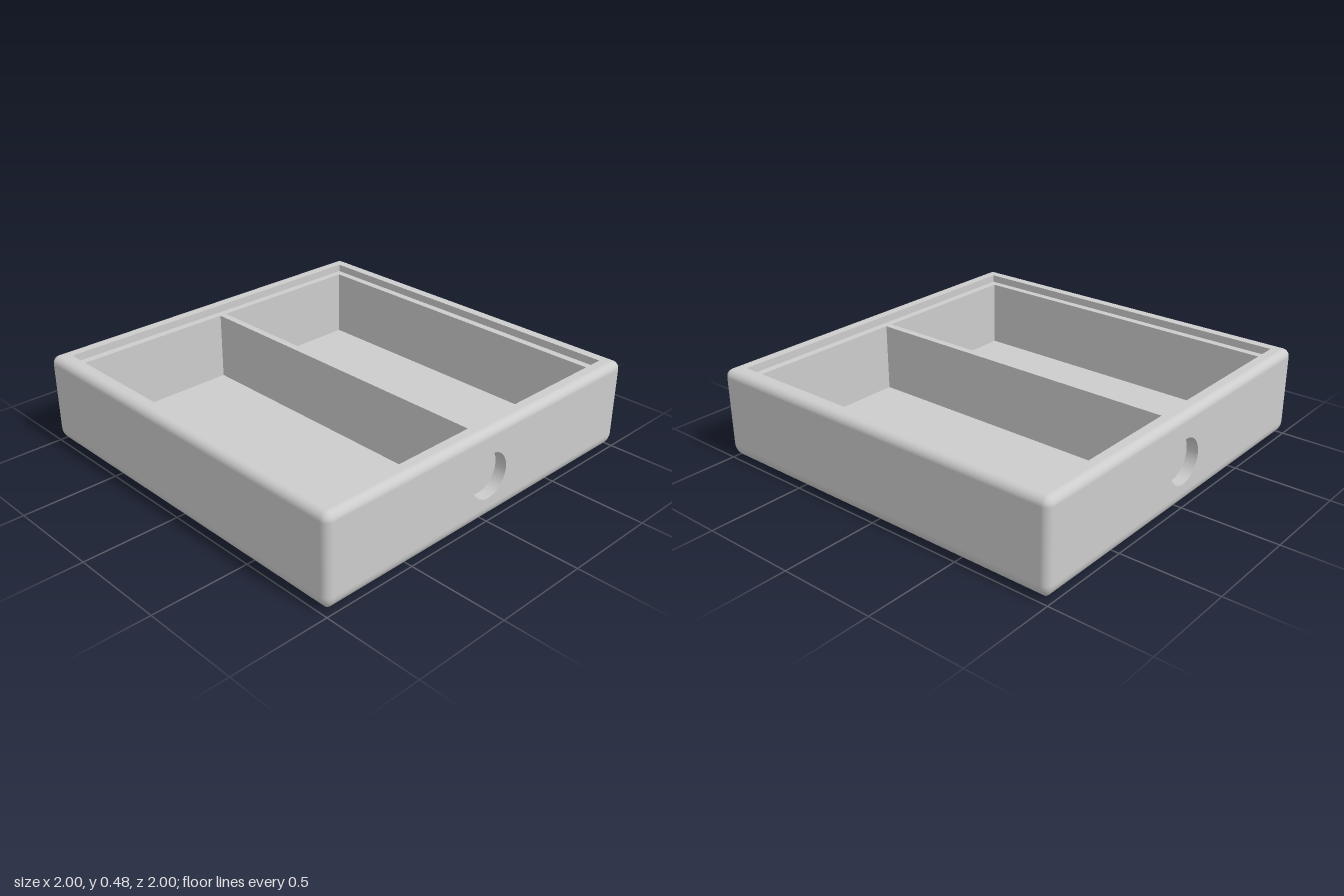
import * as THREE from 'three';

const H = 0.48, CORNER = 0.04, TOP_R = 0.04, BOTTOM_R = 0.08;
const LEDGE_Y = 0.44, FLOOR_Y = 0.08, LIP = 0.92, INNER = 0.88, DIVIDER = 0.019;
const HOLE_R = 0.115, HOLE_Y = 0.24, HOLE_DEPTH = 0.06;

function rect(x0, y0, x1, y1, Type = THREE.Shape) {
  return new Type([[x0, y0], [x1, y0], [x1, y1], [x0, y1]].map(p => new THREE.Vector2(...p)));
}

// Outer skin: rounded-square rings stacked up with a bottom and a top fillet
function skinGeometry() {
  const rings = [], N = 8, S = 6;
  for (let i = 0; i <= N; i++) {
    const a = (i / N) * Math.PI / 2;
    rings.push({ inset: BOTTOM_R * (1 - Math.sin(a)), y: BOTTOM_R * (1 - Math.cos(a)), nh: Math.sin(a), nv: -Math.cos(a) });
  }
  for (let i = 0; i <= N; i++) {
    const a = (i / N) * Math.PI / 2;
    rings.push({ inset: TOP_R * (1 - Math.cos(a)), y: H - TOP_R * (1 - Math.sin(a)), nh: Math.cos(a), nv: Math.sin(a) });
  }
  const pos = [], nor = [], idx = [], M = 4 * (S + 1);
  for (const { inset, y, nh, nv } of rings) {
    const r = Math.max(CORNER - inset, 0), c = 1 - inset - r;
    for (let q = 0; q < 4; q++) {
      const sx = q === 0 || q === 3 ? 1 : -1, sz = q < 2 ? 1 : -1;
      for (let s = 0; s <= S; s++) {
        const a = (q + s / S) * Math.PI / 2, cx = Math.cos(a), cz = Math.sin(a);
        pos.push(sx * c + cx * r, y, sz * c + cz * r);
        nor.push(cx * nh, nv, cz * nh);
      }
    }
  }
  for (let k = 0; k < rings.length - 1; k++) {
    for (let i = 0; i < M; i++) {
      // the flat front and back are separate pierced panels
      if (k === N && (i === S || i === S + 2 * (S + 1))) continue;
      const j = (i + 1) % M, a = k * M + i, b = k * M + j;
      idx.push(a, a + M, b, b, a + M, b + M);
    }
  }
  const g = new THREE.BufferGeometry();
  g.setAttribute('position', new THREE.Float32BufferAttribute(pos, 3));
  g.setAttribute('normal', new THREE.Float32BufferAttribute(nor, 3));
  g.setIndex(idx);
  return g;
}

// Square slab lying flat between two heights, with rectangular openings
function slab(half, openings, y0, y1) {
  const shape = rect(-half, -half, half, half);
  for (const o of openings) shape.holes.push(rect(...o, THREE.Path));
  const g = new THREE.ExtrudeGeometry(shape, { depth: y1 - y0, bevelEnabled: false });
  return g.rotateX(-Math.PI / 2).translate(0, y0, 0);
}

export function createModel() {
  const group = new THREE.Group();
  const grey = new THREE.MeshStandardMaterial({ color: 0xcccccc });
  grey.name = 'light grey';
  const add = (name, geometry, parent = group) => {
    const mesh = new THREE.Mesh(geometry, grey);
    mesh.name = name;
    parent.add(mesh);
    return mesh;
  };

  add('outerShell', skinGeometry());
  const base = 2 * (1 - BOTTOM_R);
  add('underside', new THREE.PlaneGeometry(base, base).rotateX(Math.PI / 2));

  // Raised lip around the ledge
  add('rimLip', slab(1 - TOP_R, [[-LIP, -LIP, LIP, LIP]], LEDGE_Y, H));

  // Ledge, inner walls and divider around the two compartments
  add('compartmentWalls', slab(0.93, [
    [-INNER, -INNER, -DIVIDER, INNER],
    [DIVIDER, -INNER, INNER, INNER],
  ], FLOOR_Y, LEDGE_Y));
  add('compartmentFloor', slab(0.9, [], FLOOR_Y - 0.02, FLOOR_Y));

  // Front and back faces, each with a shallow round recess
  for (const [name, turn] of [['front', 0], ['back', Math.PI]]) {
    const face = new THREE.Group();
    face.name = name + 'Face';
    face.rotation.y = turn;
    const e = 1 - CORNER;
    const shape = rect(-e, BOTTOM_R, e, H - TOP_R);
    const hole = new THREE.Path();
    hole.absarc(0, HOLE_Y, HOLE_R, 0, Math.PI * 2, true);
    shape.holes.push(hole);
    add(name + 'Panel', new THREE.ShapeGeometry(shape, 24).translate(0, 0, 1), face);
    const wall = [new THREE.Vector2(HOLE_R, 0), new THREE.Vector2(HOLE_R, -HOLE_DEPTH)];
    add(name + 'RecessWall', new THREE.LatheGeometry(wall, 48).rotateX(Math.PI / 2).translate(0, HOLE_Y, 1), face);
    add(name + 'RecessFloor', new THREE.CircleGeometry(HOLE_R, 48).translate(0, HOLE_Y, 1 - HOLE_DEPTH), face);
    group.add(face);
  }
  return group;
}
